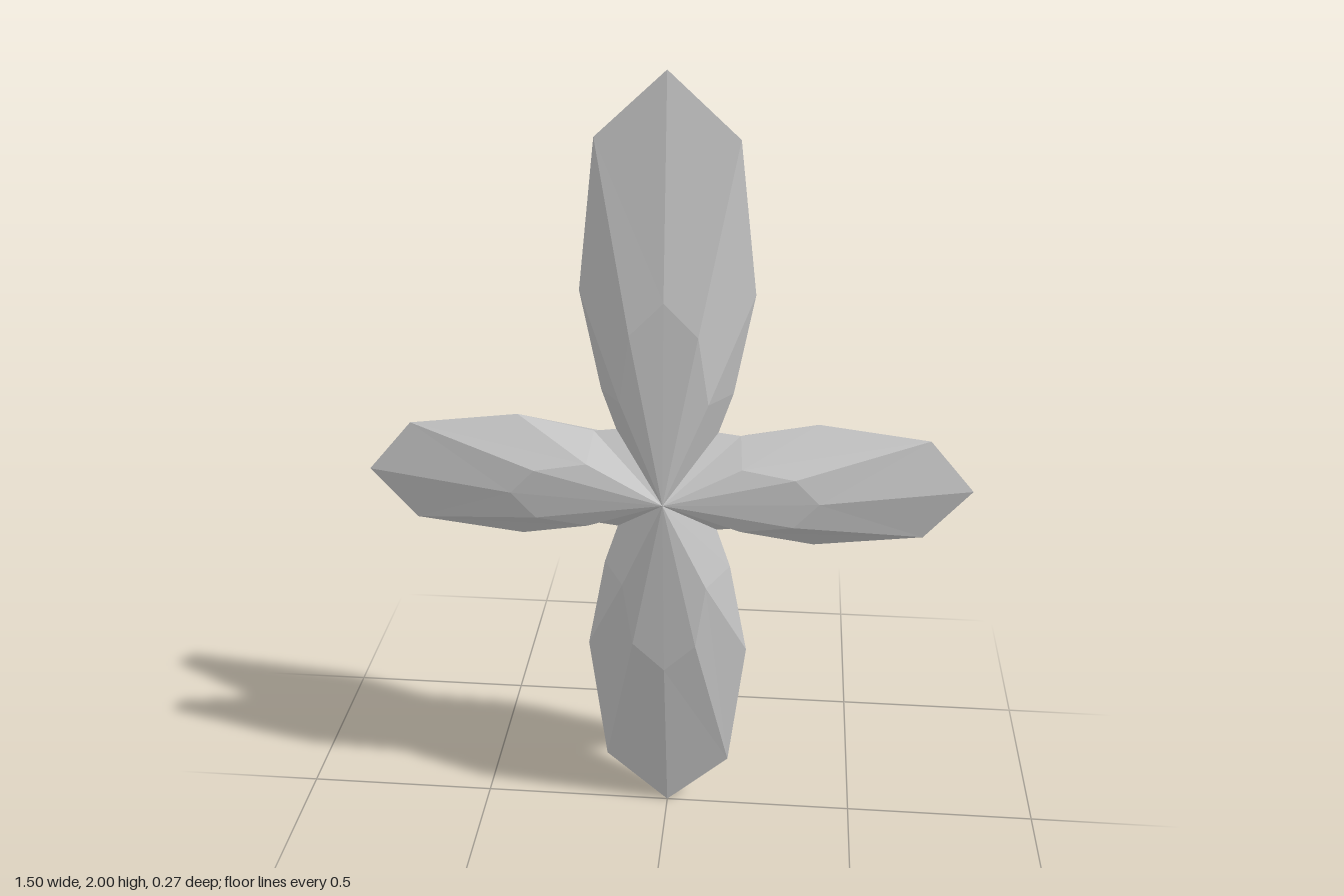
import * as THREE from 'three';

// One faceted petal growing along +y from the star's centre.
// w, h scale its width and length; root is the point shared with its neighbour.
function petalGeometry(w, h, root) {
  const p = (x, y, z) => [x * w, y * h, z];
  const centre = [0, 0, 0.137];
  const tip = p(0, 1, 0);
  const ridge = p(0, 0.5, 0.1);
  const upper = p(0.08, 0.42, 0.104);
  const lower = p(0.105, 0.25, 0.098);
  const edge1 = p(0.165, 0.85, 0);
  const edge2 = p(0.207, 0.49, 0);
  const edge3 = p(0.16, 0.24, 0);
  const corner = [root[0], root[1], 0];

  // Counter-clockwise faces of the front right quarter
  const faces = [
    [ridge, edge1, tip],
    [ridge, upper, edge1],
    [centre, upper, ridge],
    [centre, lower, upper],
    [upper, lower, edge1],
    [lower, edge2, edge1],
    [lower, edge3, edge2],
    [centre, edge3, lower],
    [centre, corner, edge3],
  ];

  // Mirror the quarter to the left and to the back
  const positions = [];
  for (const sx of [1, -1]) {
    for (const sz of [1, -1]) {
      for (const face of faces) {
        const order = sx * sz > 0 ? face : [...face].reverse();
        for (const [x, y, z] of order) positions.push(x * sx, y, z * sz);
      }
    }
  }
  const geometry = new THREE.BufferGeometry();
  geometry.setAttribute('position', new THREE.Float32BufferAttribute(positions, 3));
  geometry.computeVertexNormals();
  return geometry;
}

export function createModel() {
  const model = new THREE.Group();
  model.name = 'fourPointedStar';

  const grey = new THREE.MeshStandardMaterial({ color: 0xc4c4c4 });
  grey.name = 'grey';
  grey.flatShading = true;

  const longPetal = petalGeometry(1, 1, [0.125, 0.135]);
  const shortPetal = petalGeometry(0.8, 0.75, [0.135, 0.125]);

  // Long petals stand up and down, short ones reach to the sides
  const petals = [
    ['topPetal', longPetal, 0],
    ['leftPetal', shortPetal, -Math.PI / 2],
    ['bottomPetal', longPetal, Math.PI],
    ['rightPetal', shortPetal, Math.PI / 2],
  ];
  for (const [name, geometry, angle] of petals) {
    const petal = new THREE.Mesh(geometry, grey);
    petal.name = name;
    petal.position.y = 1;
    petal.rotation.z = angle;
    model.add(petal);
  }
  return model;
}
